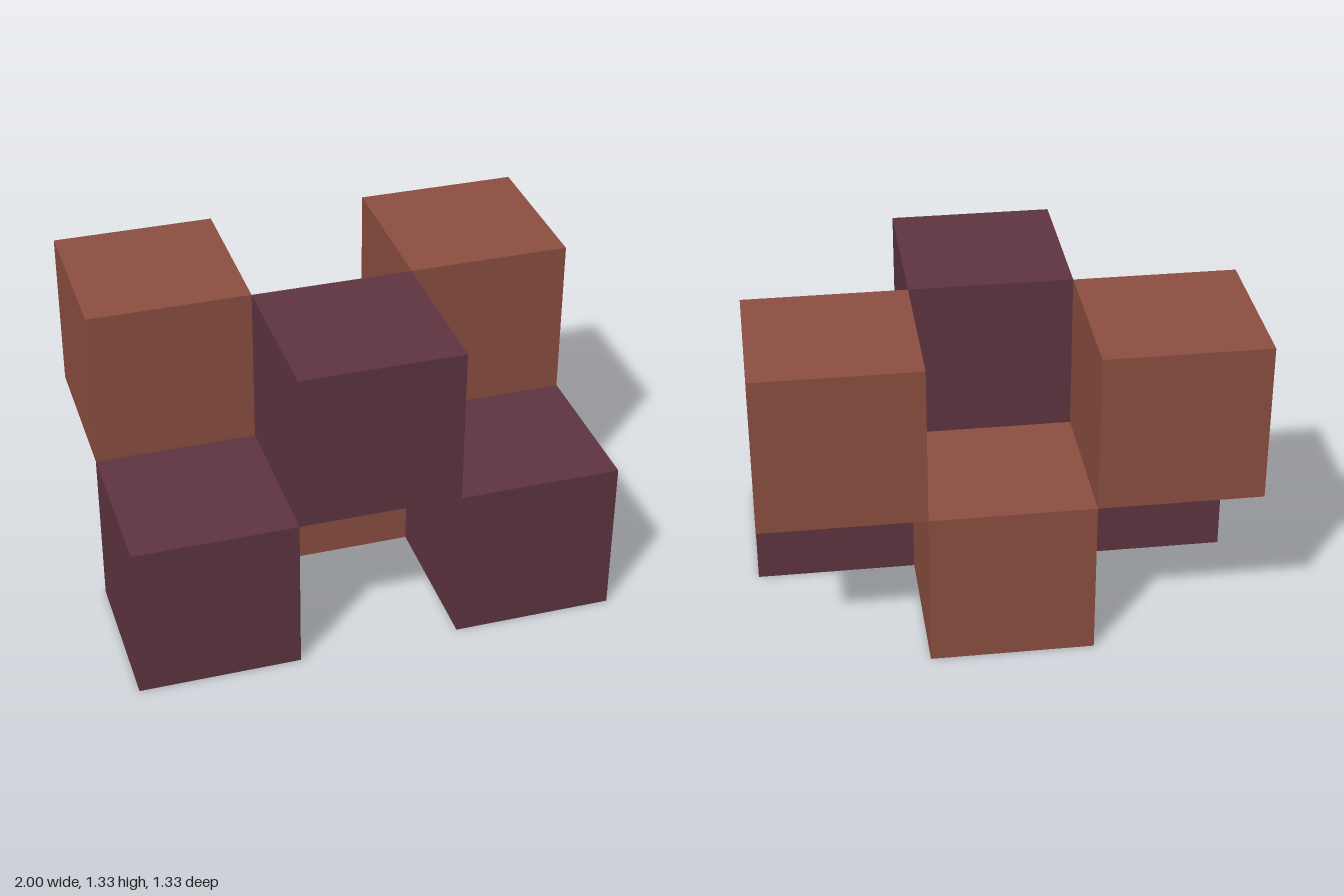
import * as THREE from 'three';

// Six cubes in a 3 x 2 x 2 checkerboard, touching along their edges.
export function createModel() {
  const model = new THREE.Group();
  model.name = 'checkerboardCubes';

  const plum = new THREE.MeshStandardMaterial({ color: 0x5f3541 });
  plum.name = 'plum';
  const rust = new THREE.MeshStandardMaterial({ color: 0x8d4f41 });
  rust.name = 'rust';

  const size = 2 / 3;
  const cube = new THREE.BoxGeometry(size, size, size);

  const addCube = (name, material, column, row, z) => {
    const mesh = new THREE.Mesh(cube, material);
    mesh.name = name;
    mesh.position.set(column * size, (row + 0.5) * size, z);
    model.add(mesh);
  };

  // Front layer has its middle cube raised, back layer its outer cubes.
  for (const [column, side] of [[-1, 'Right'], [0, 'Middle'], [1, 'Left']]) {
    const middle = column === 0;
    addCube(`front${side}Cube`, plum, column, middle ? 1 : 0, size / 2);
    addCube(`back${side}Cube`, rust, column, middle ? 0 : 1, -size / 2);
  }
  return model;
}
